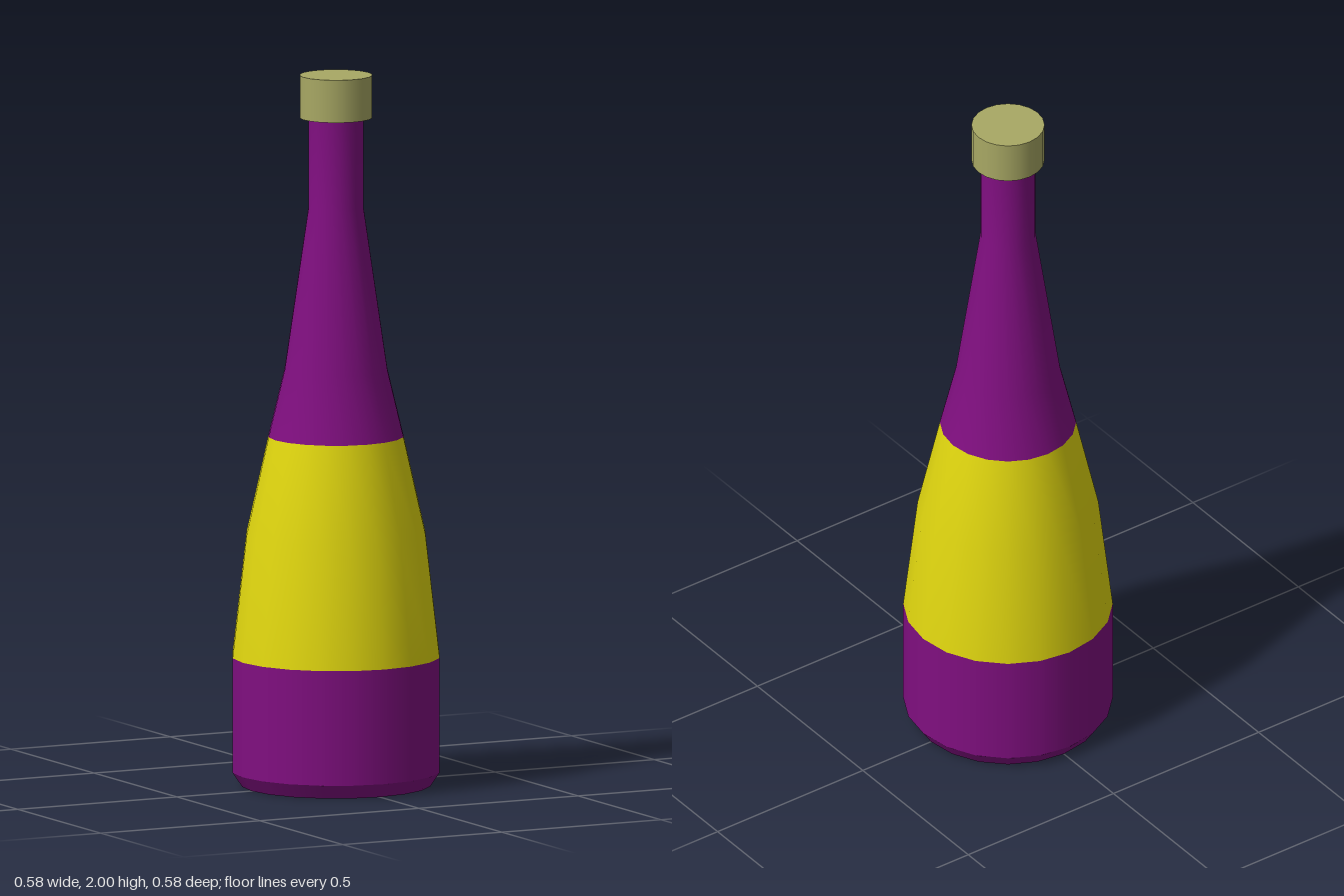
import * as THREE from 'three';

const SIDES = 20;

export function createModel() {
  const bottle = new THREE.Group();
  bottle.name = 'bottle';

  const purple = new THREE.MeshStandardMaterial({ color: 0x800f80 });
  const yellow = new THREE.MeshStandardMaterial({ color: 0xe0d60f });
  const tan = new THREE.MeshStandardMaterial({ color: 0xa8a864 });

  // Turned section from [radius, height] pairs, bottom to top
  function turned(name, profile, material) {
    const points = profile.map(([r, y]) => new THREE.Vector2(r, y));
    const mesh = new THREE.Mesh(new THREE.LatheGeometry(points, SIDES), material);
    mesh.name = name;
    bottle.add(mesh);
  }

  // Separate sections keep the edges between them sharp
  turned('bottleBottom', [[0, 0], [0.265, 0]], purple);
  turned('bottomBevel', [[0.265, 0], [0.292, 0.04]], purple);
  turned('lowerBody', [[0.292, 0.04], [0.292, 0.363]], purple);
  turned('label', [[0.292, 0.363], [0.252, 0.71], [0.19, 0.983]], yellow);
  turned('neck', [[0.19, 0.983], [0.145, 1.17], [0.077, 1.63], [0.077, 1.885]], purple);

  // Cap, wider than the neck
  const cap = new THREE.Mesh(new THREE.CylinderGeometry(0.102, 0.102, 0.12, SIDES), tan);
  cap.name = 'cap';
  cap.position.y = 1.94;
  bottle.add(cap);

  return bottle;
}
